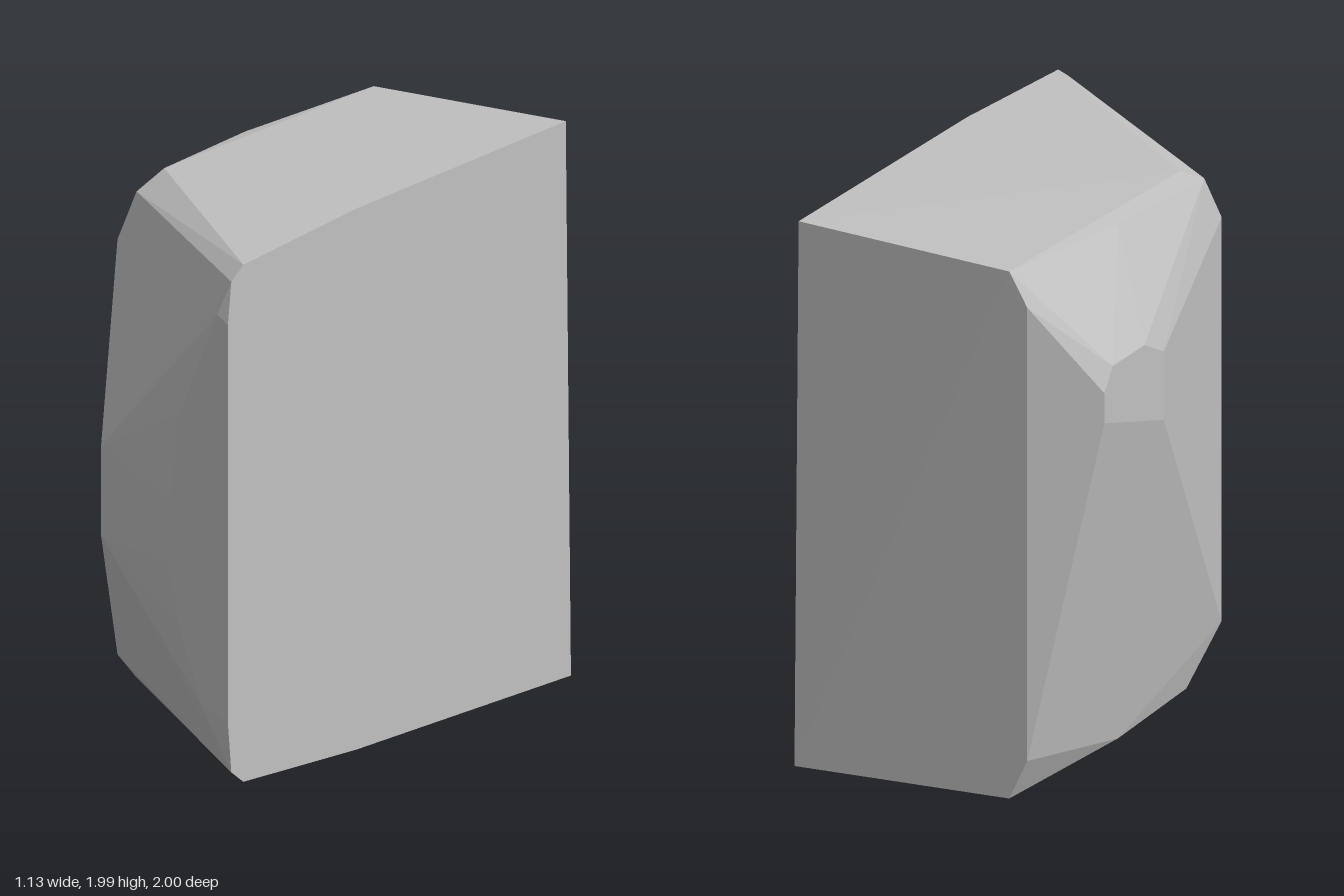
import * as THREE from 'three';
import { ConvexGeometry } from 'three/addons/geometries/ConvexGeometry.js';

export function createModel() {
  const group = new THREE.Group();
  group.name = 'cutStone';
  const stone = new THREE.MeshStandardMaterial({ color: 0xc0c0c0 });
  stone.name = 'stone grey';

  // Corners of the faceted block, grouped by side
  const flatSide = [
    [0.565, 0, -1], [0.565, 1.985, -0.97], [0.565, 1.96, 0.25], [0.565, 1.915, 0.91],
    [0.565, 1.87, 0.98], [0.565, 1.72, 1], [0.565, 0.3, 1], [0.565, 0.12, 0.98],
    [0.565, 0.07, 0.91], [0.565, 0.03, 0.25],
  ];
  const frontFacet = [
    [0.32, 1.05, 1], [0.31, 0.83, 0.995], [0.35, 0.64, 1],
    [0.45, 0.35, 1], [0.36, 1.37, 1], [0.52, 1.75, 1],
  ];
  const frontEdges = [
    [-0.07, 0.83, 0.865], [-0.07, 1.15, 0.865], [-0.36, 0.24, 0.37], [-0.36, 1.72, 0.37],
    [-0.33, 1.88, 0.3], [-0.3, 1.94, 0.18], [-0.335, 0.15, 0.3], [-0.325, 0.05, 0.18],
  ];
  const bulge = [
    [-0.565, 1.28, -0.43], [-0.565, 1.53, -0.43], [-0.565, 1.6, -0.57],
    [-0.565, 1.6, -0.8], [-0.565, 1.52, -0.86], [-0.565, 1.41, -0.86],
  ];
  const back = [
    [-0.27, 1.96, -1], [-0.34, 1.84, -1], [-0.34, 0.18, -1], [-0.27, 0.03, -1],
    [-0.35, 1.935, -0.36], [-0.36, 0.06, -0.38],
  ];

  const points = [...flatSide, ...frontFacet, ...frontEdges, ...bulge, ...back]
    .map((p) => new THREE.Vector3(...p));
  const block = new THREE.Mesh(new ConvexGeometry(points), stone);
  block.name = 'stoneBlock';
  group.add(block);
  return group;
}
